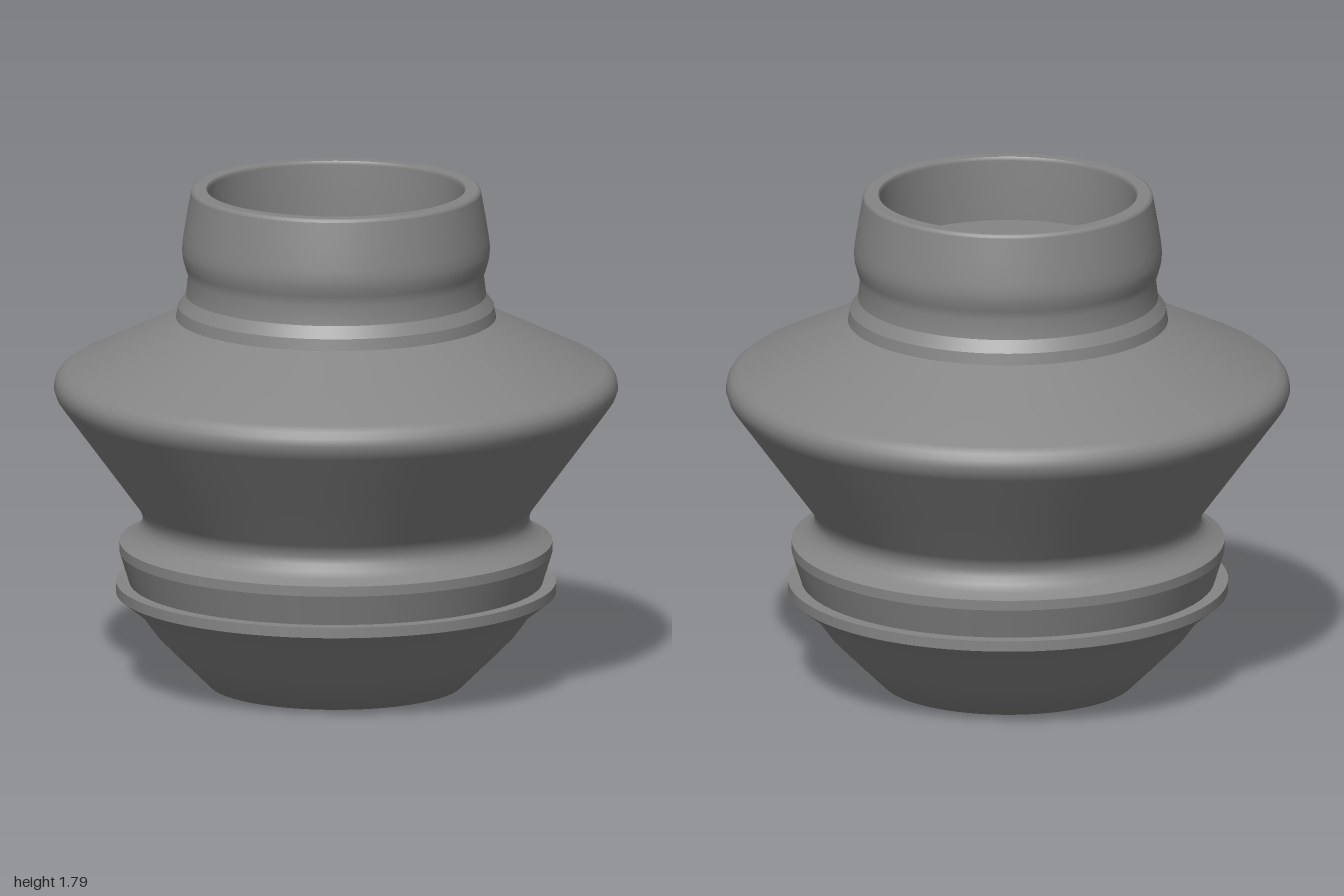
import * as THREE from 'three';

const SEGMENTS = 96;
const material = new THREE.MeshStandardMaterial({ color: 0x858585 });

// One turned section, smooth inside; creases fall between sections.
function turned(name, points) {
  const profile = points.map(([r, y]) => new THREE.Vector2(r, y));
  const mesh = new THREE.Mesh(new THREE.LatheGeometry(profile, SEGMENTS), material);
  mesh.name = name;
  return mesh;
}

export function createModel() {
  const model = new THREE.Group();
  model.name = 'vessel';

  // Profiles run up the outside, over the rim and down the inside: [radius, height]
  const sections = {
    base: [[0, 0], [0.45, 0], [0.577, 0.125], [0.636, 0.185], [0.695, 0.265], [0.78, 0.332]],
    flangeEdge: [[0.78, 0.332], [0.78, 0.37]],
    flangeTop: [[0.78, 0.37], [0.733, 0.37]],
    collar: [[0.733, 0.37], [0.767, 0.48]],
    collarLip: [[0.767, 0.48], [0.767, 0.516]],
    body: [[0.767, 0.516], [0.73, 0.535], [0.703, 0.556], [0.688, 0.58], [0.685, 0.603],
      [0.69, 0.626], [0.702, 0.648], [0.84, 0.836], [0.975, 1.02], [0.99, 1.042], [1, 1.073],
      [0.995, 1.1], [0.982, 1.121], [0.957, 1.14], [0.76, 1.235], [0.567, 1.327]],
    neckRing: [[0.567, 1.327], [0.56, 1.368]],
    neckStep: [[0.56, 1.368], [0.532, 1.41]],
    neck: [[0.532, 1.41], [0.524, 1.48], [0.535, 1.515], [0.543, 1.545], [0.546, 1.575],
      [0.542, 1.615], [0.529, 1.695], [0.514, 1.78]],
    rimEdge: [[0.514, 1.78], [0.511, 1.788], [0.503, 1.792]],
    rimTop: [[0.503, 1.792], [0.46, 1.792]],
    neckInside: [[0.46, 1.792], [0.452, 1.78], [0.452, 1.56]],
    neckFloor: [[0.452, 1.56], [0, 1.56]],
  };
  for (const [name, points] of Object.entries(sections)) model.add(turned(name, points));

  return model;
}
